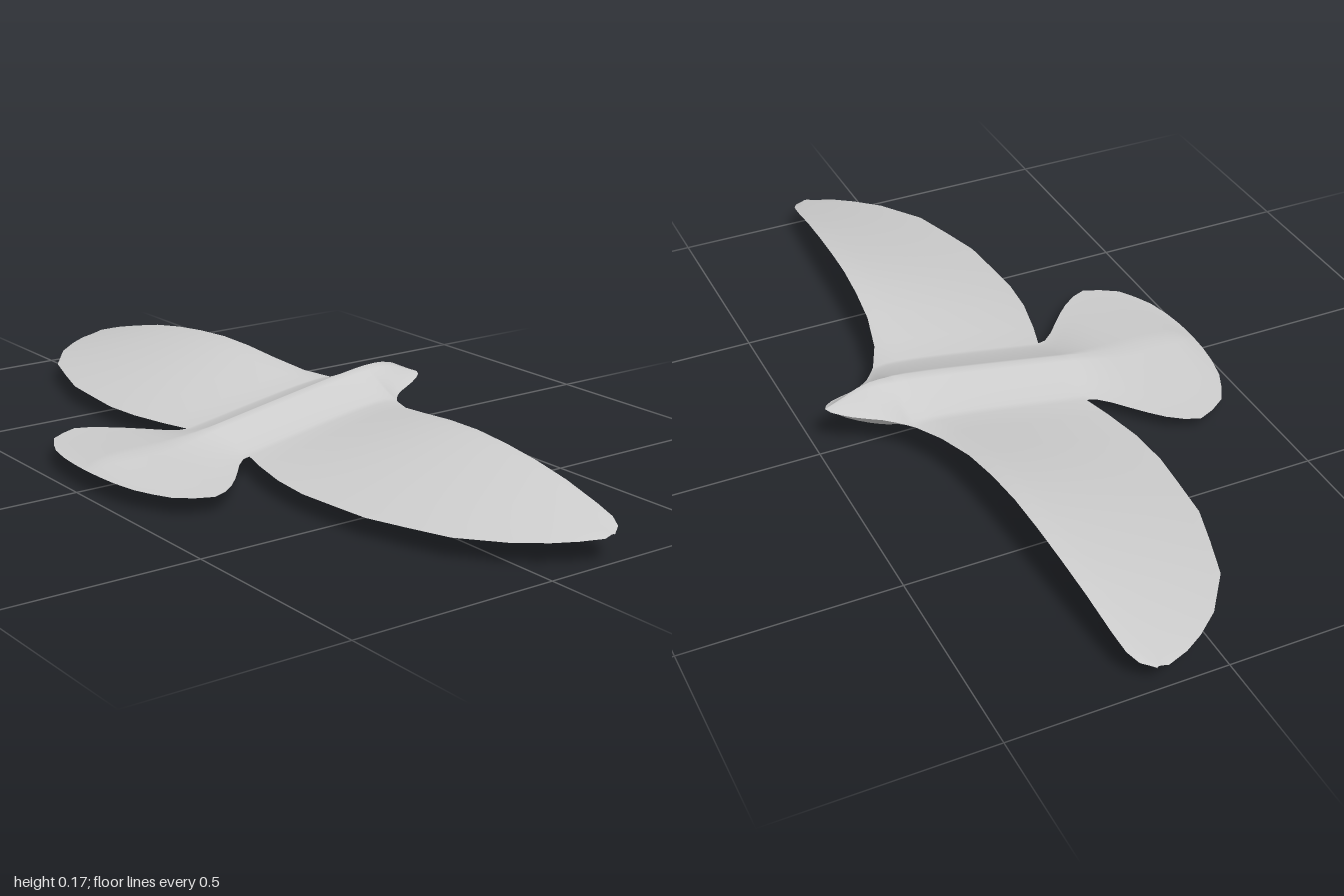
import * as THREE from 'three';
import { mergeGeometries, mergeVertices } from 'three/addons/utils/BufferGeometryUtils.js';

// Wing stations: x, leading z, trailing z, leading y, trailing y
const WING = [
  [0.13, -0.312, 0.12, 0.107, 0.05], [0.2, -0.28, 0.14, 0.114, 0.049],
  [0.3, -0.257, 0.162, 0.129, 0.048], [0.4, -0.247, 0.17, 0.14, 0.047],
  [0.5, -0.24, 0.163, 0.144, 0.048], [0.6, -0.235, 0.155, 0.139, 0.049],
  [0.7, -0.23, 0.125, 0.129, 0.051], [0.8, -0.224, 0.092, 0.114, 0.053],
  [0.9, -0.217, 0.018, 0.092, 0.056], [0.95, -0.211, -0.042, 0.08, 0.058],
  [0.98, -0.197, -0.09, 0.071, 0.06], [1.0, -0.168, -0.142, 0.064, 0.061],
];
// Head and tail stations: z, half width, edge y
const HEAD = [
  [-0.48, 0, 0.125], [-0.472, 0.015, 0.123], [-0.455, 0.029, 0.12], [-0.43, 0.043, 0.115],
  [-0.4, 0.056, 0.11], [-0.37, 0.071, 0.107], [-0.345, 0.09, 0.105], [-0.325, 0.113, 0.106],
];
const TAIL = [
  [0.14, 0.135, 0.049], [0.17, 0.162, 0.048], [0.2, 0.198, 0.047], [0.23, 0.232, 0.046],
  [0.26, 0.262, 0.045], [0.295, 0.288, 0.045], [0.33, 0.302, 0.045], [0.37, 0.285, 0.045],
  [0.41, 0.258, 0.046], [0.435, 0.215, 0.047], [0.455, 0.17, 0.048], [0.468, 0.11, 0.049],
  [0.474, 0.055, 0.05], [0.476, 0, 0.05],
];
// Centre line heights: z, y
const RIDGE = [
  [-0.48, 0.125], [-0.455, 0.135], [-0.43, 0.146], [-0.4, 0.16], [-0.36, 0.169],
  [-0.3, 0.166], [-0.2, 0.151], [0, 0.116], [0.18, 0.084], [0.26, 0.073],
  [0.39, 0.071], [0.435, 0.064], [0.476, 0.05],
];
const KEEL = [
  [-0.48, 0.125], [-0.42, 0.077], [-0.37, 0.051], [-0.33, 0.033], [0.06, 0.003],
  [0.2, 0.022], [0.39, 0.028], [0.44, 0.037], [0.476, 0.05],
];
const CHORD = 14;
const HALF = 8;

function lookup(table, z) {
  let i = 0;
  while (i < table.length - 2 && table[i + 1][0] < z) i++;
  const [z0, y0] = table[i];
  const [z1, y1] = table[i + 1];
  return y0 + (y1 - y0) * (z - z0) / (z1 - z0);
}

function wingPoint([x, zLead, zTrail, yLead, yTrail], t, side) {
  const thick = 0.011 * Math.min(1, 0.3 + (1.0 - x) * 1.2);
  const bulge = thick * Math.sin(Math.PI * Math.sqrt(t));
  return [x, yLead + (yTrail - yLead) * t + side * bulge, zLead + (zTrail - zLead) * t];
}

// Grid surface through points(i, j)
function sheet(rows, cols, points, flip) {
  const pos = [];
  const index = [];
  for (let i = 0; i <= rows; i++) {
    for (let j = 0; j <= cols; j++) pos.push(...points(i, j));
  }
  for (let i = 0; i < rows; i++) {
    for (let j = 0; j < cols; j++) {
      const a = i * (cols + 1) + j;
      const b = a + 1;
      const c = a + cols + 1;
      const d = c + 1;
      if (flip) index.push(a, c, b, b, c, d);
      else index.push(a, b, c, b, d, c);
    }
  }
  const g = new THREE.BufferGeometry();
  g.setAttribute('position', new THREE.Float32BufferAttribute(pos, 3));
  g.setIndex(index);
  return g;
}

// One skin (side = 1 upper, -1 lower) across body, tail and both wings
function skin(side) {
  const sections = HEAD.slice();
  for (let k = 0; k <= CHORD; k++) {
    const [x, y, z] = wingPoint(WING[0], k / CHORD, side);
    sections.push([z, x, y]);
  }
  sections.push(...TAIL);

  const body = sheet(sections.length - 1, HALF * 2, (i, j) => {
    const [z, w, edge] = sections[i];
    const s = (j - HALF) / HALF;
    const mid = lookup(side > 0 ? RIDGE : KEEL, z);
    const rise = Math.pow(1 - Math.abs(s), side > 0 ? 1.25 : 1.1);
    return [w * s, edge + (mid - edge) * rise, z];
  }, side > 0);

  const wings = [1, -1].map((m) => sheet(WING.length - 1, CHORD, (i, k) => {
    const [x, y, z] = wingPoint(WING[i], k / CHORD, side);
    return [m * x, y, z];
  }, m * side < 0));

  const g = mergeVertices(mergeGeometries([body, ...wings]), 1e-4);
  g.computeVertexNormals();
  return g;
}

export function createModel() {
  const grey = new THREE.MeshStandardMaterial({ color: 0xcccccc });
  grey.name = 'light grey';
  const bird = new THREE.Group();
  bird.name = 'glidingBird';
  for (const [name, side] of [['upperPlumage', 1], ['lowerPlumage', -1]]) {
    const mesh = new THREE.Mesh(skin(side), grey);
    mesh.name = name;
    bird.add(mesh);
  }
  return bird;
}
